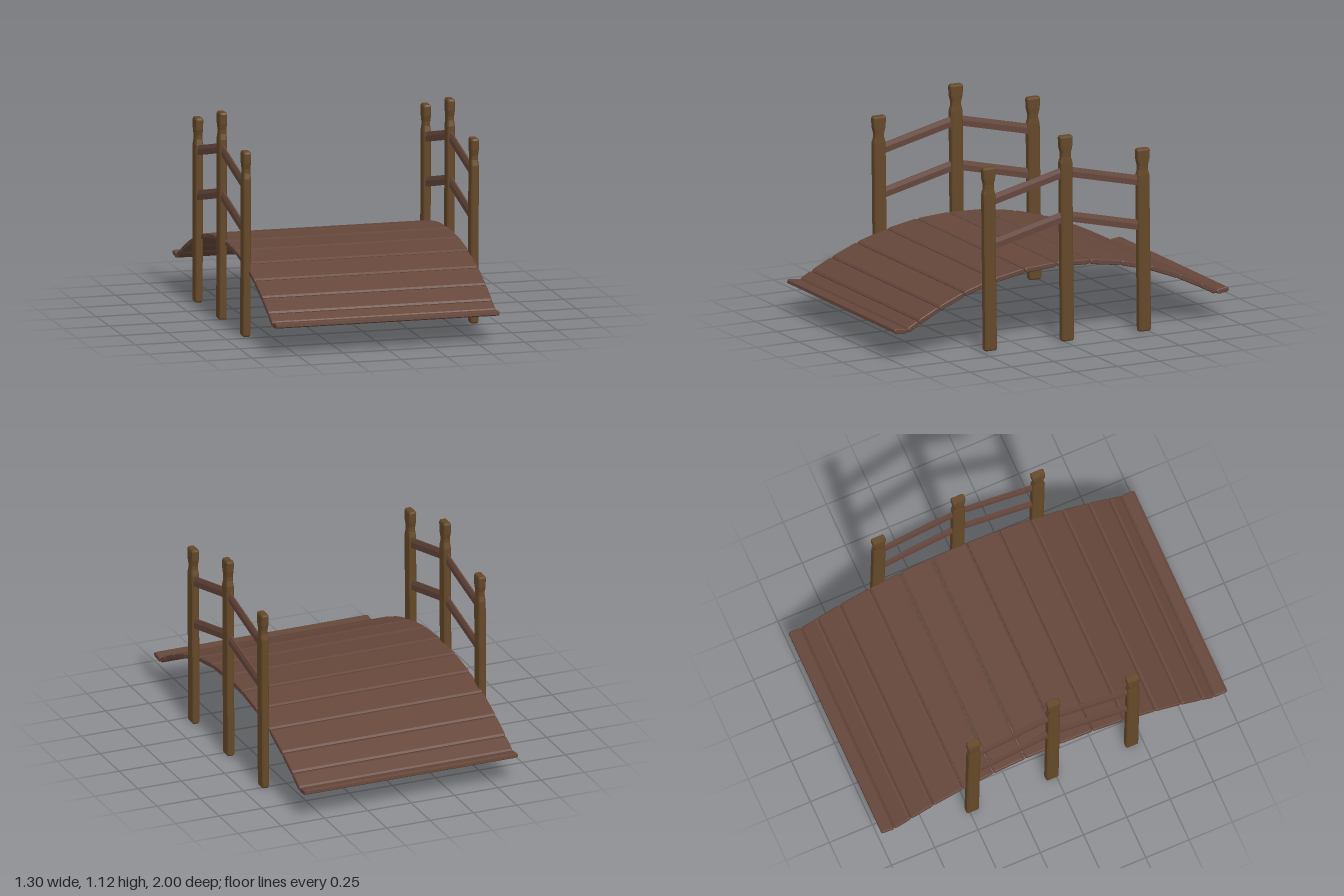
import * as THREE from 'three';

const plankMaterial = new THREE.MeshStandardMaterial({ color: 0x65463a });
const postMaterial = new THREE.MeshStandardMaterial({ color: 0x644828 });
for (const m of [plankMaterial, postMaterial]) m.flatShading = true;

// Prism along z, centred on it, with small chamfers at both ends
function prism(points, length, bevel) {
  const shape = new THREE.Shape(points.map(([x, y]) => new THREE.Vector2(x, y)));
  const geometry = new THREE.ExtrudeGeometry(shape, {
    depth: length - 2 * bevel, bevelEnabled: true, bevelThickness: bevel,
    bevelSize: bevel, bevelOffset: -bevel, bevelSegments: 1,
  });
  return geometry.translate(0, 0, -length / 2 + bevel);
}

// Rectangle with cut corners, counter-clockwise
function chamferedRect(w, h, cx, cy) {
  const a = w / 2, b = h / 2;
  return [[a, -b + cy], [a, b - cy], [a - cx, b], [-a + cx, b],
    [-a, b - cy], [-a, -b + cy], [-a + cx, -b], [a - cx, -b]];
}

// One deck board between two points [z, y] of the arch
function makePlank([z0, y0], [z1, y1]) {
  const length = Math.hypot(z1 - z0, y1 - y0) - 0.003;
  const geometry = prism(chamferedRect(length, 0.027, 0.012, 0.006), 1.231, 0.004);
  const plank = new THREE.Mesh(geometry.rotateY(Math.PI / 2), plankMaterial);
  plank.rotation.x = -Math.atan2(y1 - y0, z1 - z0);
  plank.position.set(-0.0025, (y0 + y1) / 2, (z0 + z1) / 2);
  plank.name = 'plank';
  return plank;
}

// One slanting rail between two points [z, y]
function makeRail(x, [z0, y0], [z1, y1]) {
  const length = Math.hypot(z1 - z0, y1 - y0);
  const profile = [[-0.012, -0.026], [0.012, -0.026], [0.012, 0.004],
    [0.004, 0.026], [-0.004, 0.026], [-0.012, 0.004]];
  const rail = new THREE.Mesh(prism(profile, length, 0.001), plankMaterial);
  rail.rotation.x = -Math.atan2(y1 - y0, z1 - z0);
  rail.position.set(x, (y0 + y1) / 2, (z0 + z1) / 2);
  rail.name = 'rail';
  return rail;
}

// Post lofted through chamfered sections, with a narrow neck below its cap
function makePost(x, z, height) {
  const rings = [ // y, width in x, width in z, z shift
    [0, 0.032, 0.06, -0.008], [0.008, 0.04, 0.071, -0.008],
    [height - 0.145, 0.042, 0.069, 0.002], [height - 0.115, 0.037, 0.054, 0.002],
    [height - 0.092, 0.037, 0.054, 0.002], [height - 0.06, 0.041, 0.069, 0.002],
    [height - 0.01, 0.041, 0.075, 0.002], [height, 0.033, 0.066, 0.002],
  ];
  const position = [], index = [];
  for (const [y, w, d, shift] of rings)
    for (const [px, pz] of chamferedRect(w, d, 0.006, 0.006)) position.push(px, y, pz + shift);
  for (let r = 0; r < rings.length - 1; r++)
    for (let i = 0; i < 8; i++) {
      const a = r * 8 + i, b = r * 8 + (i + 1) % 8;
      index.push(a, a + 8, b, b, a + 8, b + 8);
    }
  const top = (rings.length - 1) * 8;
  for (let i = 1; i < 7; i++) {
    index.push(0, i, i + 1);
    index.push(top, top + i + 1, top + i);
  }
  const geometry = new THREE.BufferGeometry();
  geometry.setAttribute('position', new THREE.Float32BufferAttribute(position, 3));
  geometry.setIndex(index);
  const flat = geometry.toNonIndexed();
  flat.computeVertexNormals();
  const post = new THREE.Mesh(flat, postMaterial);
  post.position.set(x, 0, z);
  post.name = 'post';
  return post;
}

export function createModel() {
  const bridge = new THREE.Group();
  bridge.name = 'footbridge';

  // Arched deck with an upturned board at each end
  const deck = new THREE.Group();
  deck.name = 'deck';
  const arch = [[-1, 0.164], [-0.925, 0.155], [-0.83, 0.205], [-0.7, 0.268], [-0.53, 0.334],
    [-0.355, 0.381], [-0.17, 0.409], [0.03, 0.417], [0.22, 0.405], [0.4, 0.372],
    [0.58, 0.318], [0.73, 0.255], [0.85, 0.195], [0.92, 0.155], [1, 0.164]];
  for (let i = 0; i < arch.length - 1; i++) deck.add(makePlank(arch[i], arch[i + 1]));
  bridge.add(deck);

  // Matching railings on both sides
  for (const side of [-1, 1]) {
    const railing = new THREE.Group();
    railing.name = side > 0 ? 'leftRailing' : 'rightRailing';
    for (const [z, height] of [[0.445, 1], [-0.015, 1.12], [-0.475, 0.997]])
      railing.add(makePost(side * 0.627, z, height));
    for (const y of [0.925, 0.682]) {
      railing.add(makeRail(side * 0.628, [-0.012, y], [0.43, y - 0.107]));
      railing.add(makeRail(side * 0.628, [-0.46, y - 0.103], [-0.012, y]));
    }
    bridge.add(railing);
  }
  return bridge;
}
